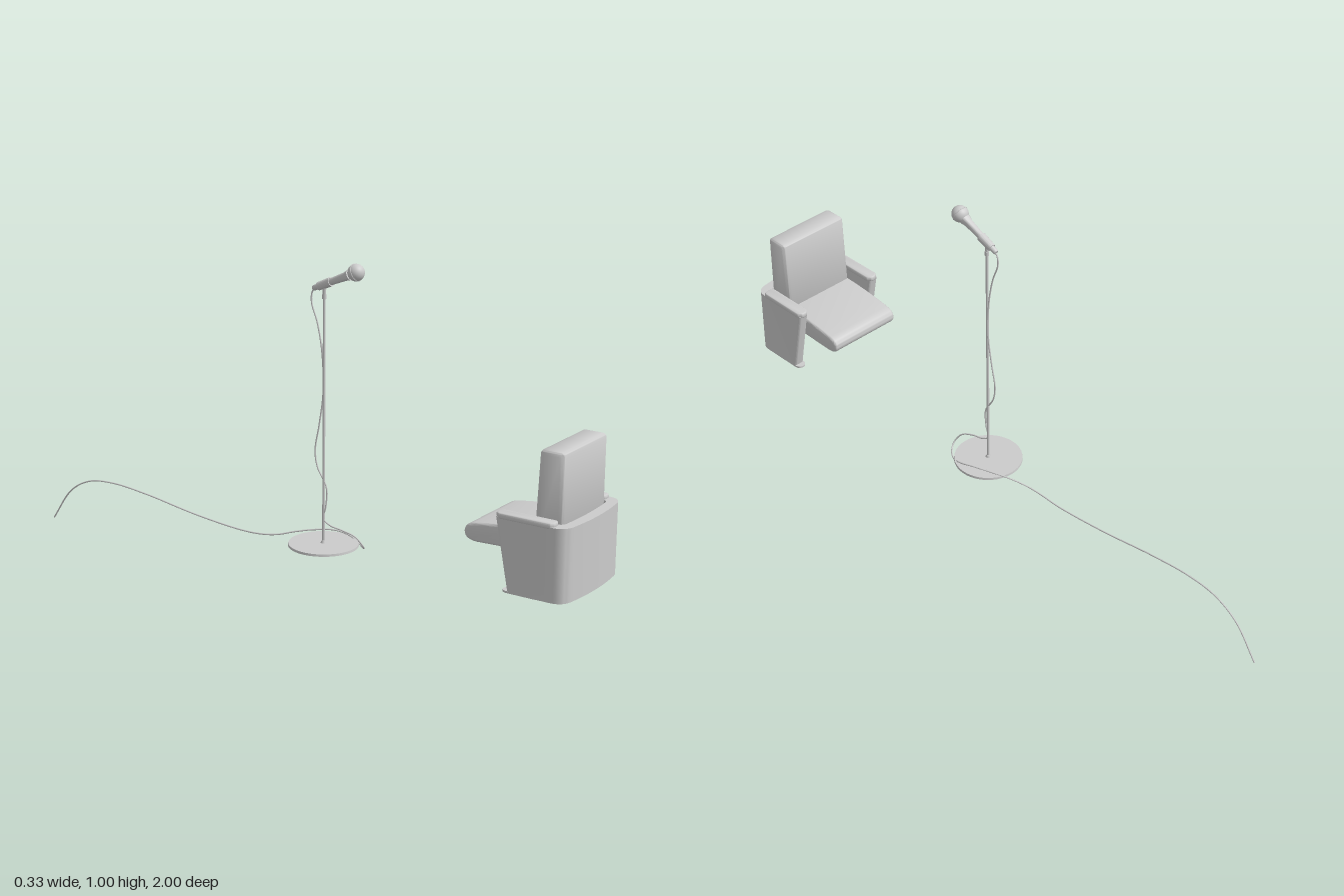
import * as THREE from 'three';
import { toCreasedNormals } from 'three/addons/utils/BufferGeometryUtils.js';
import { RoundedBoxGeometry } from 'three/addons/geometries/RoundedBoxGeometry.js';

const V = (x, y, z) => new THREE.Vector3(x, y, z);

export function createModel() {
  const model = new THREE.Group();
  const material = new THREE.MeshStandardMaterial({ color: 0xcccccc });

  function add(name, geometry, parent, x = 0, y = 0, z = 0) {
    const mesh = new THREE.Mesh(geometry, material);
    mesh.name = name;
    mesh.position.set(x, y, z);
    parent.add(mesh);
    return mesh;
  }

  // Moves every vertex by a rule and refreshes the normals
  function deform(geometry, rule) {
    const p = geometry.attributes.position;
    const v = new THREE.Vector3();
    for (let i = 0; i < p.count; i++) {
      rule(v.fromBufferAttribute(p, i));
      p.setXYZ(i, v.x, v.y, v.z);
    }
    return toCreasedNormals(geometry, 0.7);
  }

  // Plan shape (x, z) extruded downwards from the given top height
  function slab(shape, top, height, bevel = 0) {
    return new THREE.ExtrudeGeometry(shape, {
      depth: height - 2 * bevel, bevelEnabled: bevel > 0, bevelThickness: bevel,
      bevelSize: bevel, bevelOffset: -bevel, bevelSegments: 3, curveSegments: 8,
    }).rotateX(Math.PI / 2).translate(0, top - bevel, 0);
  }

  // ---------- Theatre seat, facing the microphone ----------
  const chair = new THREE.Group();
  chair.name = 'chair';
  model.add(chair);

  // Wrap-around shell: U-shaped plan, front edges sloping back to the floor
  const u = new THREE.Shape();
  u.moveTo(0.166, 0.78);
  u.lineTo(0.166, 0.945);
  u.quadraticCurveTo(0.166, 0.985, 0.125, 0.991);
  u.quadraticCurveTo(0, 1.009, -0.125, 0.991);
  u.quadraticCurveTo(-0.166, 0.985, -0.166, 0.945);
  u.lineTo(-0.166, 0.78);
  u.quadraticCurveTo(-0.166, 0.77, -0.156, 0.77);
  u.lineTo(-0.140, 0.77);
  u.quadraticCurveTo(-0.131, 0.77, -0.131, 0.78);
  u.lineTo(-0.131, 0.94);
  u.quadraticCurveTo(-0.131, 0.96, -0.11, 0.962);
  u.quadraticCurveTo(0, 0.972, 0.11, 0.962);
  u.quadraticCurveTo(0.131, 0.96, 0.131, 0.94);
  u.lineTo(0.131, 0.78);
  u.quadraticCurveTo(0.131, 0.77, 0.140, 0.77);
  u.lineTo(0.156, 0.77);
  u.quadraticCurveTo(0.166, 0.77, 0.166, 0.78);
  add('shell', deform(slab(u, 0.4, 0.215), (v) => {
    if (v.z < 0.85) v.z += 0.042 * (0.4 - v.y) / 0.215;
  }), chair);

  for (const side of [-1, 1]) {
    // Padded armrest with a rounded front
    const arm = new THREE.Shape();
    arm.absarc(0, 0.787, 0.02, Math.PI, Math.PI * 2);
    arm.lineTo(0.02, 0.935);
    arm.quadraticCurveTo(0.02, 0.95, 0, 0.95);
    arm.quadraticCurveTo(-0.02, 0.95, -0.02, 0.935);
    add('armrest', toCreasedNormals(slab(arm, 0.411, 0.018, 0.005), 0.7), chair, side * 0.147);

    // Flat foot showing in front of the side panel
    const foot = new THREE.Shape();
    foot.absarc(0, 0.81, 0.017, Math.PI, Math.PI * 2);
    foot.lineTo(0.017, 0.9);
    foot.lineTo(-0.017, 0.9);
    add('foot', toCreasedNormals(slab(foot, 0.19, 0.006), 0.7), chair, side * 0.148);
  }

  // Back cushion, slightly thinner towards the top
  const back = new RoundedBoxGeometry(0.25, 0.27, 0.088, 4, 0.012);
  add('backCushion', deform(back, (v) => {
    if (v.z < 0) v.z += 0.012 * (v.y + 0.135) / 0.27;
  }), chair, 0, 0.464, 0.911);

  // Seat cushion: side profile (z, y) extruded across the width
  const profile = new THREE.Shape();
  profile.moveTo(0.9, 0.302);
  profile.lineTo(0.9, 0.368);
  profile.quadraticCurveTo(0.79, 0.367, 0.69, 0.352);
  profile.quadraticCurveTo(0.648, 0.347, 0.648, 0.322);
  profile.quadraticCurveTo(0.648, 0.295, 0.69, 0.295);
  profile.lineTo(0.9, 0.302);
  const seat = new THREE.ExtrudeGeometry(profile, {
    depth: 0.236, bevelThickness: 0.007, bevelSize: 0.007, bevelOffset: -0.007,
    bevelSegments: 3, curveSegments: 8,
  }).rotateY(-Math.PI / 2).translate(0.118, 0, 0);
  add('seatCushion', toCreasedNormals(seat, 0.7), chair);

  // ---------- Microphone on its stand ----------
  const stand = new THREE.Group();
  stand.name = 'microphoneStand';
  stand.position.z = 0.086;
  model.add(stand);

  add('base', new THREE.CylinderGeometry(0.106, 0.107, 0.007, 48), stand, 0, 0.131, 0);
  add('baseCollar', new THREE.CylinderGeometry(0.006, 0.009, 0.008, 16), stand, 0, 0.138, 0);
  add('pole', new THREE.CylinderGeometry(0.0042, 0.0042, 0.756, 16), stand, 0, 0.512, 0);
  add('poleJoint', new THREE.CylinderGeometry(0.0065, 0.0065, 0.014, 16), stand, 0, 0.892, 0);
  add('clipNeck', new THREE.CylinderGeometry(0.006, 0.005, 0.024, 16), stand, 0, 0.909, 0);

  // Tilted microphone: its own +y runs from the tail to the head
  const mic = new THREE.Group();
  mic.name = 'microphone';
  mic.position.set(0, 0.912, -0.039);
  mic.quaternion.setFromUnitVectors(V(0, 1, 0), V(0, 0.065, 0.150).normalize());
  stand.add(mic);
  const handle = [[0, 0], [0.007, 0], [0.0085, 0.004], [0.0095, 0.05], [0.013, 0.125], [0.017, 0.14], [0, 0.145]];
  const body = new THREE.LatheGeometry(handle.map(([r, y]) => new THREE.Vector2(r, y)), 24);
  add('handle', toCreasedNormals(body, 0.6), mic);
  add('head', new THREE.SphereGeometry(0.0255, 28, 18), mic, 0, 0.163, 0);
  add('headRing', new THREE.TorusGeometry(0.0252, 0.0015, 8, 28).rotateX(Math.PI / 2), mic, 0, 0.163, 0);
  const clip = [[0.0095, 0.02], [0.0125, 0.02], [0.014, 0.068], [0.011, 0.068], [0.0095, 0.02]];
  const sleeve = new THREE.LatheGeometry(clip.map(([r, y]) => new THREE.Vector2(r, y)), 20);
  add('clip', toCreasedNormals(sleeve, 0.6), mic);

  // Cable: down the pole, looped round the base, then trailing away behind
  const cablePath = new THREE.CatmullRomCurve3([
    V(0, 0.914, 0.052), V(0, 0.9, 0.043), V(0, 0.87, 0.041), V(0, 0.81, 0.062),
    V(0, 0.72, 0.079), V(0, 0.6, 0.083), V(0, 0.5, 0.069), V(0, 0.42, 0.055),
    V(0, 0.37, 0.063), V(0, 0.31, 0.096), V(0, 0.25, 0.094), V(0, 0.21, 0.086),
    V(0.001, 0.193, 0.11), V(0.004, 0.185, 0.15), V(0.014, 0.17, 0.19), V(0.03, 0.14, 0.208),
    V(0.05, 0.125, 0.198), V(0.075, 0.126, 0.165), V(0.088, 0.14, 0.12), V(0.08, 0.149, 0.07),
    V(0.055, 0.145, 0.01), V(0.03, 0.136, -0.04), V(0.008, 0.123, -0.09), V(0, 0.116, -0.14),
    V(0, 0.113, -0.22), V(0, 0.128, -0.4), V(0, 0.157, -0.6), V(0, 0.168, -0.74),
    V(0, 0.156, -0.84), V(0, 0.11, -0.92), V(0, 0.002, -0.999),
  ]);
  add('cable', new THREE.TubeGeometry(cablePath, 320, 0.0024, 8), model);

  return model;
}
